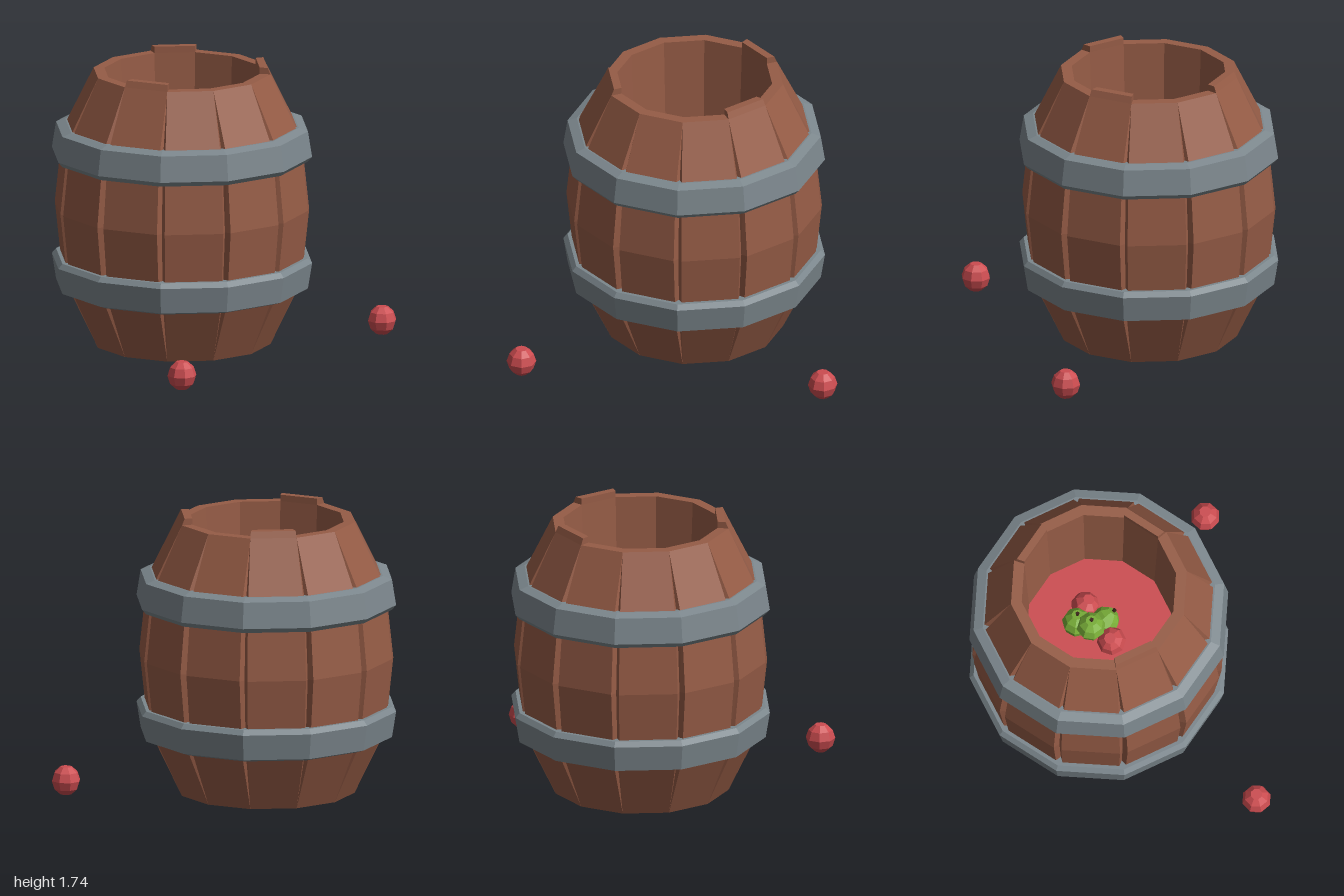
import * as THREE from 'three';

const SIDES = 12;
const STEP = (Math.PI * 2) / SIDES;
const COS = Math.cos(STEP / 2), TAN = Math.tan(STEP / 2);

function material(name, color) {
  const m = new THREE.MeshStandardMaterial({ color, flatShading: true });
  m.name = name;
  return m;
}

function mesh(name, geometry, mat) {
  const m = new THREE.Mesh(geometry, mat);
  m.name = name;
  return m;
}

// Twelve-sided lathe with flats on the axes; profile radii are measured to the flats
function lathe12(profile) {
  const points = profile.map(([r, y]) => new THREE.Vector2(r / COS, y));
  const g = new THREE.LatheGeometry(points, SIDES, STEP / 2).toNonIndexed();
  g.computeVertexNormals();
  return g;
}

// Triangles from a list of quads, each counter-clockwise seen from the front
function quadGeometry(quads) {
  const pos = [];
  for (const [a, b, c, d] of quads) for (const p of [a, b, c, a, c, d]) pos.push(...p);
  const g = new THREE.BufferGeometry();
  g.setAttribute('position', new THREE.Float32BufferAttribute(pos, 3));
  g.computeVertexNormals();
  return g;
}

// One stave facing +z, with bevels falling into the grooves beside it
function staveGeometry() {
  const levels = [ // y, distance to face, gap at the side, groove depth
    [0, 0.53, 0, 0],
    [0.395, 0.717, 0.02, 0.035],
    [0.855, 0.765, 0.025, 0.04],
    [1.315, 0.717, 0.02, 0.035],
    [1.70, 0.53, 0, 0],
  ];
  const rows = levels.map(([y, r, gap, depth]) => {
    const w = r * TAN - gap, gr = r - depth;
    return [[-gr * TAN, y, gr], [-w, y, r], [w, y, r], [gr * TAN, y, gr]];
  });
  const quads = [];
  for (let i = 0; i < rows.length - 1; i++)
    for (let j = 0; j < 3; j++)
      quads.push([rows[i][j], rows[i][j + 1], rows[i + 1][j + 1], rows[i + 1][j]]);
  return quadGeometry(quads);
}

// Raised stave end standing above the rim
function staveEndGeometry() {
  const ring = (y, out, inn) => [
    [-out * TAN, y, out], [out * TAN, y, out], [inn * TAN, y, inn], [-inn * TAN, y, inn]];
  const a = ring(1.70, 0.53, 0.465), b = ring(1.74, 0.513, 0.465);
  const quads = [b];
  for (let i = 0; i < 4; i++) {
    const j = (i + 1) % 4;
    quads.push([a[i], a[j], b[j], b[i]]);
  }
  return quadGeometry(quads);
}

function appleGeometry() {
  const profile = [[0, -0.09], [0.036, -0.086], [0.074, -0.052], [0.091, 0],
    [0.074, 0.052], [0.036, 0.086], [0, 0.086]];
  return new THREE.LatheGeometry(profile.map(([x, y]) => new THREE.Vector2(x, y)), 8, Math.PI / 8);
}

export function createModel() {
  const model = new THREE.Group();
  model.name = 'appleBarrel';
  const wood = material('brownWood', 0x965c46);
  const metal = material('greyMetal', 0x7c878d);
  const red = material('appleRed', 0xcc4c50);
  const green = material('appleGreen', 0x79ae38);
  const dark = material('stemBrown', 0x3a2418);

  const barrel = new THREE.Group();
  barrel.name = 'barrel';
  barrel.position.set(-0.185, 0, -0.165);
  model.add(barrel);

  // Staves around the barrel
  const stave = staveGeometry();
  for (let i = 0; i < SIDES; i++) {
    const s = mesh('stave', stave, wood);
    s.rotation.y = i * STEP;
    barrel.add(s);
  }

  // Three staves that stand taller than the rest
  const end = staveEndGeometry();
  for (const turn of [2, 5, 10]) {
    const e = mesh('raisedStaveEnd', end, wood);
    e.rotation.y = turn * STEP;
    barrel.add(e);
  }

  // Rim, inner wall and recessed base
  barrel.add(mesh('rimAndInnerWall', lathe12([[0.53, 1.70], [0.465, 1.70], [0.435, 0.98]]), wood));
  barrel.add(mesh('recessedBase', lathe12([[0, 0.08], [0.455, 0.08], [0.465, 0], [0.53, 0]]), wood));

  // Metal hoops, the upper one mirrored
  const hoop = [[0.66, 0.34], [0.70, 0.34], [0.755, 0.36], [0.78, 0.52], [0.755, 0.55], [0.66, 0.55]];
  barrel.add(mesh('lowerHoop', lathe12(hoop), metal));
  barrel.add(mesh('upperHoop', lathe12(hoop.map(([r, y]) => [r, 1.71 - y]).reverse()), metal));

  // Red filling
  const filling = mesh('filling', new THREE.CircleGeometry(0.437 / COS, SIDES, STEP / 2), red);
  filling.rotation.x = -Math.PI / 2;
  filling.position.y = 1.0;
  barrel.add(filling);

  // Apples: colour, position, tilt
  const apple = appleGeometry();
  const stem = new THREE.CylinderGeometry(0.013, 0.009, 0.03, 5);
  const apples = [
    [red, [-0.91, 0.09, 0.85], [0, 0, 0]],
    [red, [0.905, 0.09, 0.415], [0, 0.1, 0]],
    [red, [-0.085, 1.08, -0.255], [0.3, 0.2, -0.2]],
    [red, [-0.30, 1.08, -0.08], [-0.2, 0.5, 0.2]],
    [green, [-0.20, 1.10, -0.30], [0.1, 0.3, -0.2]],
    [green, [-0.24, 1.15, -0.21], [0.1, 0.7, -0.1]],
    [green, [-0.175, 1.08, -0.13], [0.9, 0.2, -0.6]],
  ];
  for (const [mat, position, tilt] of apples) {
    const g = new THREE.Group();
    g.name = mat === red ? 'redApple' : 'greenApple';
    g.add(mesh('appleBody', apple, mat));
    if (mat === green) {
      const s = mesh('appleStem', stem, dark);
      s.position.y = 0.09;
      g.add(s);
    }
    g.position.set(...position);
    g.rotation.set(...tilt);
    model.add(g);
  }
  return model;
}
